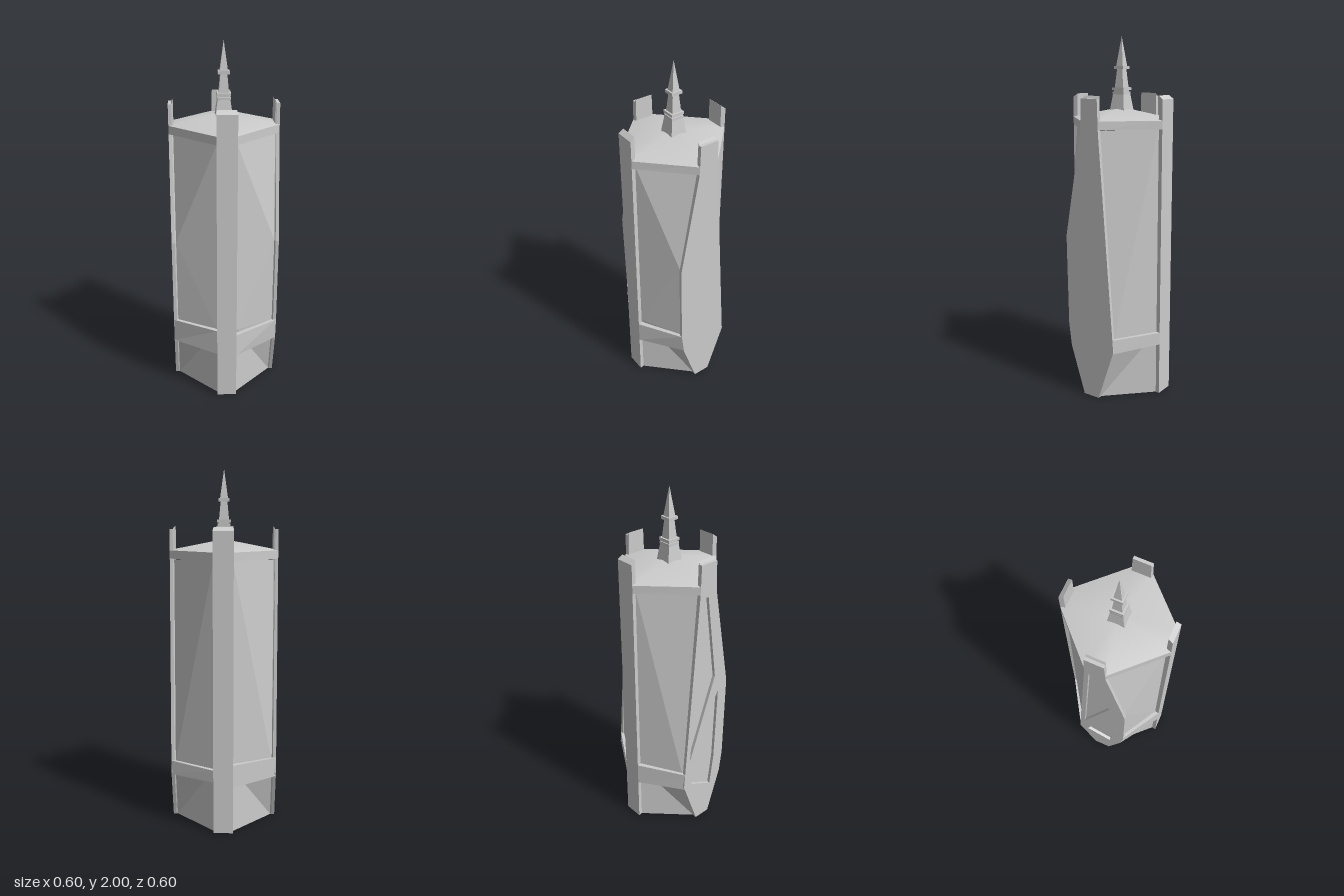
import * as THREE from 'three';

const grey = new THREE.MeshStandardMaterial({ color: 0xcccccc, flatShading: true });
const smooth = new THREE.MeshStandardMaterial({ color: 0xcccccc });

// Half-width of the side panels as [z, y], front edge and back edge
const FRONT = [[0.05, 0], [0.14, 0.275], [0.157, 0.41], [0.165, 0.92], [0.058, 1.51], [0.053, 1.675]];
const BACK = [[0.05, 0], [0.153, 0.3], [0.148, 0.36], [0.058, 1.51], [0.053, 1.675]];
const RECESSES = [
  [[0, 1.49], [-0.035, 1.49], [-0.11, 0.47], [0.07, 0.985]],
  [[0.1, 0.875], [0.03, 0.755], [-0.095, 0.295], [0.06, 0.215], [0.085, 0.41]],
];
const OUT = 0.3, IN = 0.276;

function edgeAt(profile, y) {
  let i = 1;
  while (i < profile.length - 1 && profile[i][1] < y) i++;
  const [z0, y0] = profile[i - 1], [z1, y1] = profile[i];
  return z0 + (z1 - z0) * (y - y0) / (y1 - y0);
}

function fromTriangles(tris) {
  const g = new THREE.BufferGeometry();
  g.setAttribute('position', new THREE.Float32BufferAttribute(tris.flat(2), 3));
  g.computeVertexNormals();
  return g;
}

// Solid between a lower and an upper loop of four corners
function slab(lo, hi) {
  const t = [[hi[0], hi[1], hi[2]], [hi[0], hi[2], hi[3]], [lo[0], lo[2], lo[1]], [lo[0], lo[3], lo[2]]];
  for (let i = 0; i < 4; i++) {
    const j = (i + 1) % 4;
    t.push([lo[i], lo[j], hi[j]], [lo[i], hi[j], hi[i]]);
  }
  return fromTriangles(t);
}

export function createModel() {
  const model = new THREE.Group();
  const add = (name, geometry, material = grey) => {
    const mesh = new THREE.Mesh(geometry, material);
    mesh.name = name;
    model.add(mesh);
  };

  // Straight front and back pillars with slanted tops
  for (const s of [1, -1]) {
    const plan = [[-0.055, OUT], [0.055, OUT], [0.05, IN - 0.002], [-0.05, IN - 0.002]];
    const tops = [1.67, 1.67, 1.69, 1.69];
    add(s > 0 ? 'frontPillar' : 'backPillar', slab(
      plan.map(([x, z]) => [s * x, 0, s * z]),
      plan.map(([x, z], i) => [s * x, tops[i], s * z])));
  }

  // Faceted side panels with two sunken shapes each
  for (const s of [1, -1]) {
    const point = ([z, y]) => new THREE.Vector2(-s * z, y);
    const outline = [...FRONT, ...BACK.map(([z, y]) => [-z, y]).reverse()].map(point);
    const layer = (from, to, holes) => {
      const shape = new THREE.Shape(outline);
      if (holes) shape.holes = RECESSES.map(r => new THREE.Path(r.map(point)));
      const g = new THREE.ExtrudeGeometry(shape, { depth: to - from, bevelEnabled: false });
      g.translate(0, 0, from).rotateY(s * Math.PI / 2);
      const p = g.attributes.position;
      for (let i = 0; i < p.count; i++) {
        if (Math.abs(p.getX(i)) > 0.279) continue;
        p.setZ(i, p.getZ(i) * 0.95);
        if (p.getY(i) > 1.6) p.setY(i, 1.69);
      }
      g.computeVertexNormals();
      return g;
    };
    const side = s > 0 ? 'left' : 'right';
    add(side + 'Panel', layer(0.282, OUT, true));
    add(side + 'PanelBacking', layer(0.274, 0.282, false));
  }

  // Diagonal sides: recessed wall, raised band and eave
  for (const sx of [1, -1]) for (const sz of [1, -1]) {
    const profile = sz > 0 ? FRONT : BACK;
    const flip = sx * sz < 0;
    const at = (x, y, z) => [sx * x, y, sz * z];

    const p = profile.slice(0, -1).map(([z, y]) => at(IN, y, z * 0.95));
    const n = p.length - 1;
    const q = [0, sz > 0 ? 0.42 : 0.37, 1.52].map(y => at(0.05, y, IN));
    const tris = [[q[0], p[0], q[1]]];
    for (let i = 0; i < n - 1; i++) tris.push([p[i], p[i + 1], q[1]]);
    tris.push([p[n - 1], q[2], q[1]], [p[n - 1], p[n], q[2]]);
    add('wall', fromTriangles(flip ? tris.map(t => [...t].reverse()) : tris));

    const ring = (yPillar, yPanel) => {
      const e = edgeAt(profile, yPanel);
      const r = [at(0.055, yPillar, OUT), at(OUT, yPanel, e),
        at(IN - 0.01, yPanel, e * 0.92), at(0.045, yPillar, IN - 0.01)];
      return flip ? r.reverse() : r;
    };
    const [lo, lo2, hi, hi2] = sz < 0
      ? (sx > 0 ? [0.30, 0.29, 0.37, 0.37] : [0.27, 0.28, 0.40, 0.39])
      : (sx > 0 ? [0.265, 0.282, 0.40, 0.41] : [0.28, 0.285, 0.43, 0.43]);
    add('band', slab(ring(lo, lo2), ring(hi, hi2)));
    add('eave', slab(ring(1.515, 1.515), ring(1.56, 1.56)));
  }

  // Shallow roof and closed base
  const octagon = (a, b, y) => [[a, b], [b, a], [b, -a], [a, -b], [-a, -b], [-b, -a], [-b, a], [-a, b]]
    .map(([x, z]) => [x, y, z]);
  const fan = (loop, centre, up) => {
    const g = new THREE.BufferGeometry();
    g.setAttribute('position', new THREE.Float32BufferAttribute([...loop, centre].flat(), 3));
    const index = loop.map((_, i) => {
      const j = (i + 1) % loop.length;
      return up ? [i, j, loop.length] : [j, i, loop.length];
    });
    g.setIndex(index.flat());
    g.computeVertexNormals();
    return g;
  };
  add('roof', fan(octagon(0.055, 0.298, 1.56), [0, 1.62, 0], true), smooth);
  add('base', fan(octagon(0.05, IN, 0), [0, 0, 0], false));

  // Square spire: [name, bottom y, top y, bottom half-width, top half-width]
  const spire = [
    ['spireFoot', 1.59, 1.695, 0.049, 0.034],
    ['spireLowerCollar', 1.69, 1.705, 0.036, 0.036],
    ['spireNeck', 1.70, 1.715, 0.03, 0.03],
    ['spireMiddleCollar', 1.712, 1.727, 0.038, 0.038],
    ['spireShaft', 1.72, 1.83, 0.028, 0.018],
    ['spireUpperCollar', 1.825, 1.842, 0.031, 0.031],
    ['spireTip', 1.84, 2.0, 0.022, 0],
  ];
  for (const [name, y0, y1, r0, r1] of spire) {
    const g = new THREE.CylinderGeometry(r1 * Math.SQRT2, r0 * Math.SQRT2, y1 - y0, 4);
    add(name, g.rotateY(Math.PI / 4).translate(0, (y0 + y1) / 2, 0));
  }
  return model;
}
